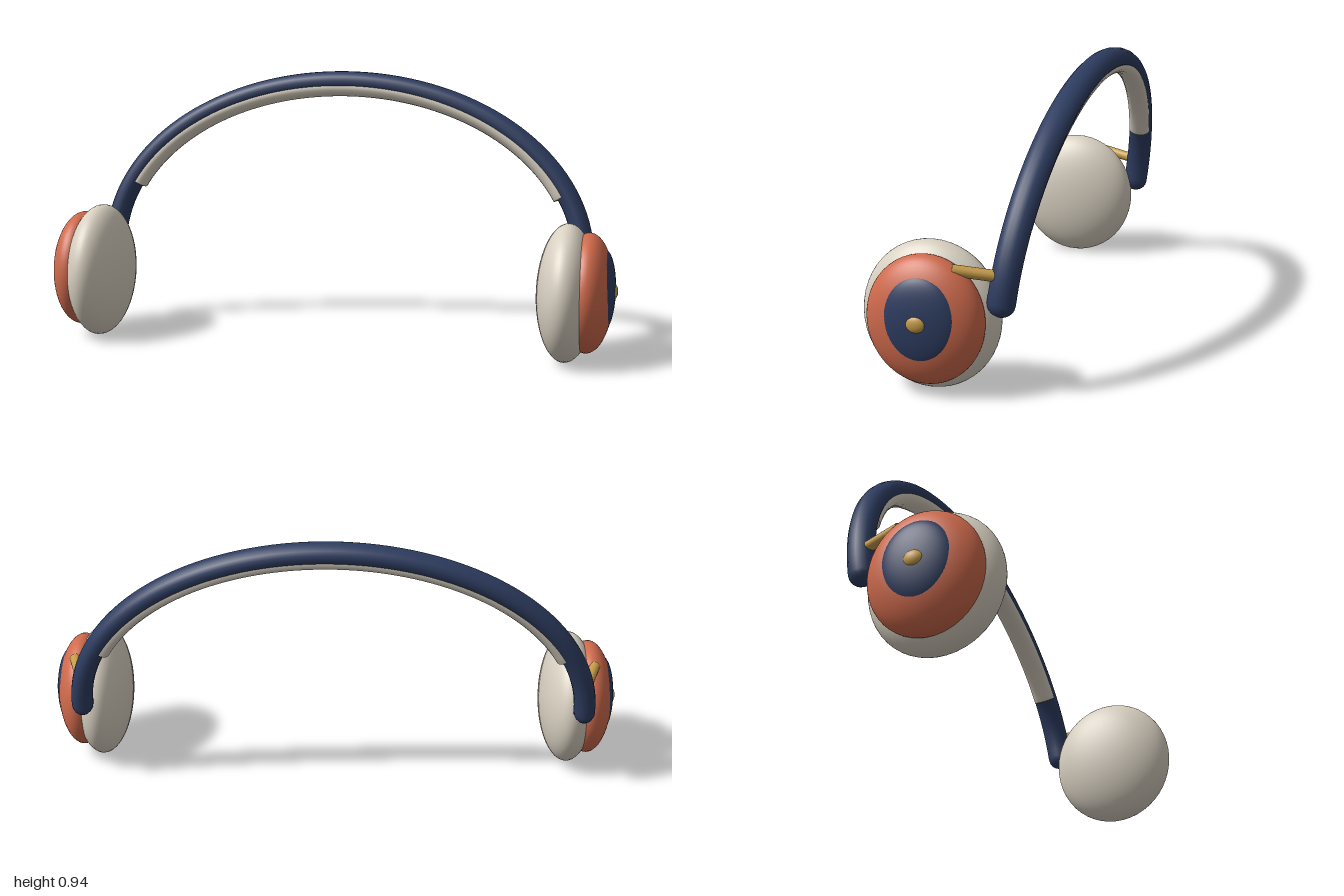
import * as THREE from 'three';

const mat = (name, color) => {
  const m = new THREE.MeshStandardMaterial({ color });
  m.name = name;
  return m;
};

// Oval section swept along an elliptical arch, closed with domed ends
function archGeometry({ a, b, start, radial, depth, cap, steps = 72, sides = 16 }) {
  const sections = [];
  const domeSteps = 5;
  for (let k = 0; k < domeSteps; k++) {
    const q = (Math.PI / 2) * (1 - k / domeSteps);
    sections.push({ t: start, shift: -cap * Math.sin(q), s: Math.cos(q) });
  }
  for (let i = 0; i <= steps; i++) {
    sections.push({ t: start + (Math.PI - 2 * start) * i / steps, shift: 0, s: 1 });
  }
  for (let k = 1; k <= domeSteps; k++) {
    const q = (Math.PI / 2) * k / domeSteps;
    sections.push({ t: Math.PI - start, shift: cap * Math.sin(q), s: Math.cos(q) });
  }
  const pos = [], index = [];
  sections.forEach(({ t, shift, s }, i) => {
    const tangent = new THREE.Vector3(-a * Math.sin(t), b * Math.cos(t), 0).normalize();
    const out = new THREE.Vector3(tangent.y, -tangent.x, 0);
    const centre = new THREE.Vector3(a * Math.cos(t), b * Math.sin(t), 0).addScaledVector(tangent, shift);
    for (let j = 0; j < sides; j++) {
      const f = (j / sides) * Math.PI * 2;
      const p = centre.clone().addScaledVector(out, radial * s * Math.cos(f));
      pos.push(p.x, p.y, depth * s * Math.sin(f));
      if (i < sections.length - 1) {
        const k = (j + 1) % sides;
        const A = i * sides + j, B = A + sides, C = (i + 1) * sides + k, D = i * sides + k;
        index.push(A, B, C, A, C, D);
      }
    }
  });
  const g = new THREE.BufferGeometry();
  g.setAttribute('position', new THREE.Float32BufferAttribute(pos, 3));
  g.setIndex(index);
  g.computeVertexNormals();
  return g;
}

export function createModel() {
  const navy = mat('navy', 0x2d3c60);
  const coral = mat('coral', 0xcf6a4c);
  const cream = mat('cream', 0xd8d0c1);
  const brass = mat('brass', 0xc59b48);

  const model = new THREE.Group();
  model.name = 'headphones';
  const add = (parent, name, geometry, material) => {
    const mesh = new THREE.Mesh(geometry, material);
    mesh.name = name;
    parent.add(mesh);
    return mesh;
  };

  // Headband with its inner cushion, leaning backwards
  const band = new THREE.Group();
  band.name = 'headbandAssembly';
  band.position.set(0, 0.3, -0.16);
  band.rotation.x = -0.143;
  model.add(band);
  add(band, 'headband', archGeometry({
    a: 0.865, b: 0.61, start: 0, radial: 0.037, depth: 0.045, cap: 0.043,
  }), navy);
  add(band, 'headCushion', archGeometry({
    a: 0.842, b: 0.587, start: 0.385, radial: 0.03, depth: 0.04, cap: 0.004,
  }), cream);

  // Ear cups, one per side, made of nested ellipsoids
  const ball = new THREE.SphereGeometry(1, 48, 32);
  ball.rotateZ(Math.PI / 2);
  for (const side of [1, -1]) {
    const cup = new THREE.Group();
    cup.name = side > 0 ? 'leftEarCup' : 'rightEarCup';
    model.add(cup);
    const ellipsoid = (name, material, [x, y, z], [rx, ry, rz]) => {
      const mesh = add(cup, name, ball, material);
      mesh.position.set(side * x, y, z);
      mesh.scale.set(rx, ry, rz);
    };
    ellipsoid('earCushion', cream, [0.83, 0.238, 0.072], [0.1, 0.234, 0.222]);
    ellipsoid('shell', coral, [0.9, 0.241, 0.068], [0.087, 0.203, 0.188]);
    ellipsoid('outerDisc', navy, [0.951, 0.25, 0.067], [0.041, 0.14, 0.123]);
    ellipsoid('button', brass, [0.983, 0.25, 0.067], [0.017, 0.028, 0.033]);

    // Short arm joining the shell to the headband
    const from = new THREE.Vector3(side * 0.91, 0.404, -0.02);
    const to = new THREE.Vector3(side * 0.862, 0.381, -0.165);
    const arm = add(cup, 'arm', new THREE.CylinderGeometry(0.018, 0.018, from.distanceTo(to), 20), brass);
    arm.position.copy(from).add(to).multiplyScalar(0.5);
    arm.quaternion.setFromUnitVectors(new THREE.Vector3(0, 1, 0), to.clone().sub(from).normalize());
  }
  return model;
}
